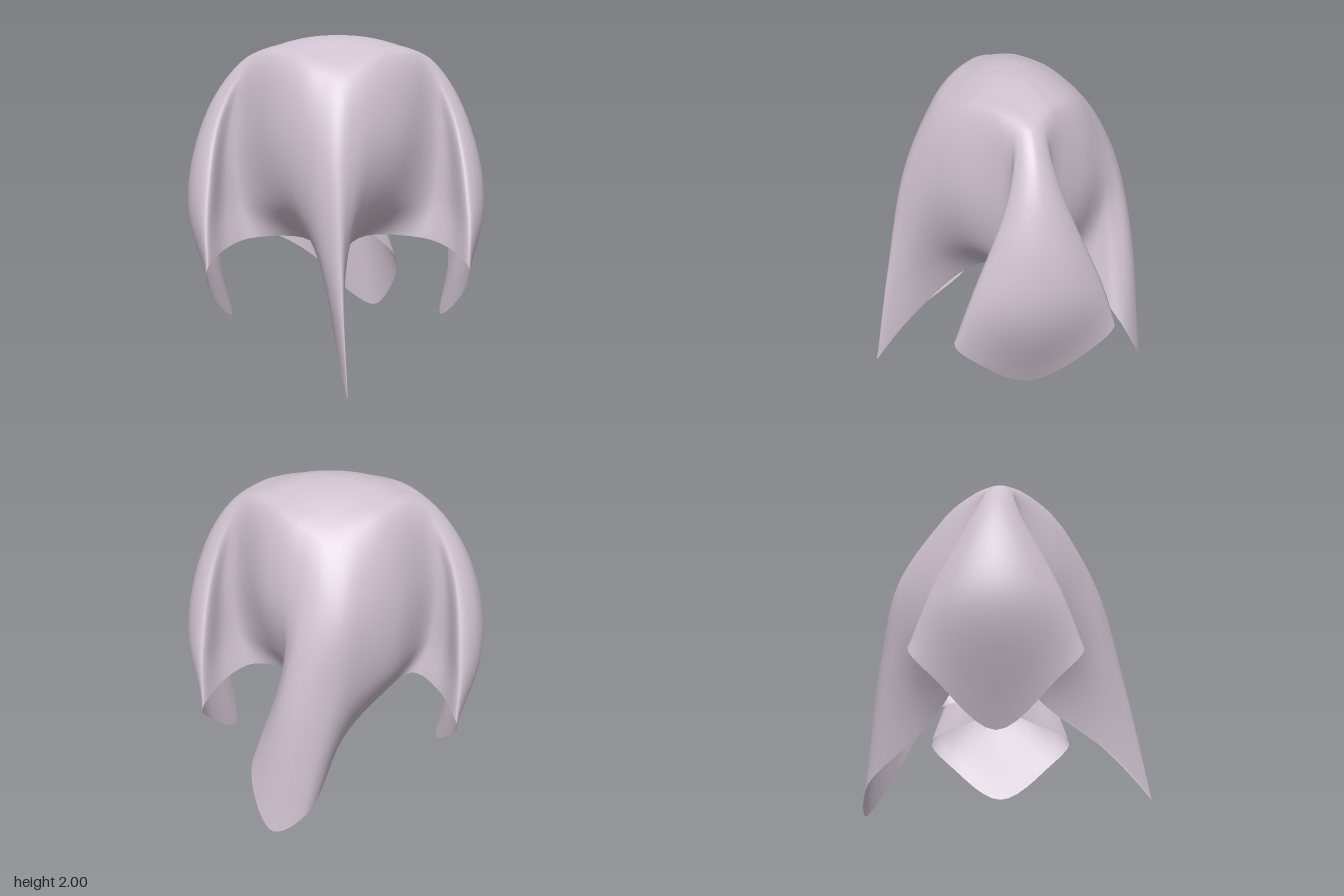
import * as THREE from 'three';

// Each fold line runs down the cloth: shoulder [x, z] on the dome, then
// upper drape, lower drape and hem as [x, y, z].
// Broad corner flap: half of it, mirrored across the diagonal.
const flapEdge = [
  [[.20, .42], [.31, 1.5, .49], [.33, 1.0, .48], [.27, .75, .42]],
  [[.28, .42], [.37, 1.5, .53], [.36, 1.0, .60], [.28, .73, .64]],
  [[.34, .42], [.385, 1.5, .61], [.28, .97, .81], [.20, .65, .88]],
  [[.38, .42], [.48, 1.5, .62], [.45, .95, .79], [.31, .46, .77]],
];
const flapTip = [[.41, .41], [.57, 1.5, .57], [.65, .9, .65], [.47, .21, .47]];

// Curled corner at the back left
const curledCorner = [
  [[.41, -.12], [.54, 1.4, -.18], [.52, 1.0, -.20], [.44, .67, -.14]],
  [[.38, -.20], [.54, 1.4, -.28], [.61, .95, -.24], [.74, .42, -.13]],
  [[.36, -.27], [.53, 1.4, -.36], [.66, .95, -.34], [.82, .18, -.23]],
  [[.33, -.33], [.48, 1.4, -.46], [.63, .90, -.46], [.80, 0, -.38]],
  [[.24, -.38], [.38, 1.4, -.55], [.47, .90, -.56], [.62, .14, -.51]],
  [[.12, -.41], [.22, 1.4, -.58], [.25, .90, -.57], [.24, .44, -.38]],
];

// Narrow pointed corner at the front right, its two layers pinched together
const pointedCorner = [
  [[-.41, .14], [-.53, 1.4, .20], [-.50, .92, .21], [-.24, .60, .13]],
  [[-.37, .24], [-.51, 1.4, .34], [-.56, .78, .42], [-.52, .26, .47]],
  [[-.33, .33], [-.46, 1.4, .44], [-.56, .70, .55], [-.62, .02, .66]],
  [[-.24, .37], [-.36, 1.4, .48], [-.47, .78, .51], [-.49, .27, .49]],
  [[-.12, .39], [-.20, 1.4, .50], [-.28, .92, .42], [-.26, .58, .20]],
];

// Middles of the four sides, tucked in underneath
const frontSide = [[0, .40], [0, 1.4, .51], [0, 1.0, .41], [0, .75, .18]];
const leftSide = [[.42, 0], [.54, 1.4, 0], [.46, 1.0, 0], [.29, .73, 0]];
const backSide = [[0, -.43], [0, 1.4, -.58], [0, .95, -.57], [-.04, .64, -.40]];
const rightSide = [[-.42, 0], [-.53, 1.4, 0], [-.46, 1.0, 0], [-.22, .74, -.03]];

const swapXZ = ([[sx, sz], ...rest]) => [[sz, sx], ...rest.map(([x, y, z]) => [z, y, x])];
// The rear flap is turned around and hangs slightly further back
const rearFlap = ([[sx, sz], ...rest]) =>
  [[-sx, -sz], ...rest.map(([x, y, z]) => [-x, y, -z - .03])];

// Crown of the cloth: a dome with a ridge along one diagonal
const dome = (x, z) => new THREE.Vector3(x, 2 - .775 * (x * x + z * z) + .65 * x * z, z);

// Smooth line from the crown to the hem
function foldCurve([[sx, sz], ...rest]) {
  const crown = [0, 1 / 3, 2 / 3, 1].map((k) => dome(sx * k, sz * k));
  return new THREE.CatmullRomCurve3([...crown, ...rest.map((p) => new THREE.Vector3(...p))]);
}

function clothGeometry(lines, rows, columns) {
  const folds = lines.map(foldCurve);
  const positions = [0, 2, 0];
  const index = [];
  for (let r = 1; r <= rows; r++) {
    // Closed ring through the same step of every fold line
    const ring = new THREE.CatmullRomCurve3(folds.map((f) => f.getPoint(r / rows)), true);
    for (let c = 0; c < columns; c++) positions.push(...ring.getPoint(c / columns).toArray());
  }
  for (let c = 0; c < columns; c++) {
    const next = (c + 1) % columns;
    index.push(0, 1 + c, 1 + next);
    for (let r = 0; r < rows - 1; r++) {
      const a = 1 + r * columns + c, b = 1 + r * columns + next;
      index.push(a, a + columns, b, b, a + columns, b + columns);
    }
  }
  const geometry = new THREE.BufferGeometry();
  geometry.setAttribute('position', new THREE.Float32BufferAttribute(positions, 3));
  geometry.setIndex(index);
  geometry.computeVertexNormals();
  return geometry;
}

export function createModel() {
  const flap = [...flapEdge, flapTip, ...flapEdge.map(swapXZ).reverse()];

  // Fold lines in order around the cloth, from the front towards +x
  const lines = [
    frontSide, ...flap,
    leftSide, ...curledCorner,
    backSide, ...flap.map(rearFlap),
    rightSide, ...pointedCorner,
  ];

  const material = new THREE.MeshStandardMaterial({ color: 0xcfc2d0, side: THREE.DoubleSide });
  const cloth = new THREE.Mesh(clothGeometry(lines, 42, lines.length * 6), material);
  cloth.name = 'drapedCloth';

  const group = new THREE.Group();
  group.name = 'cloth';
  group.add(cloth);
  return group;
}
